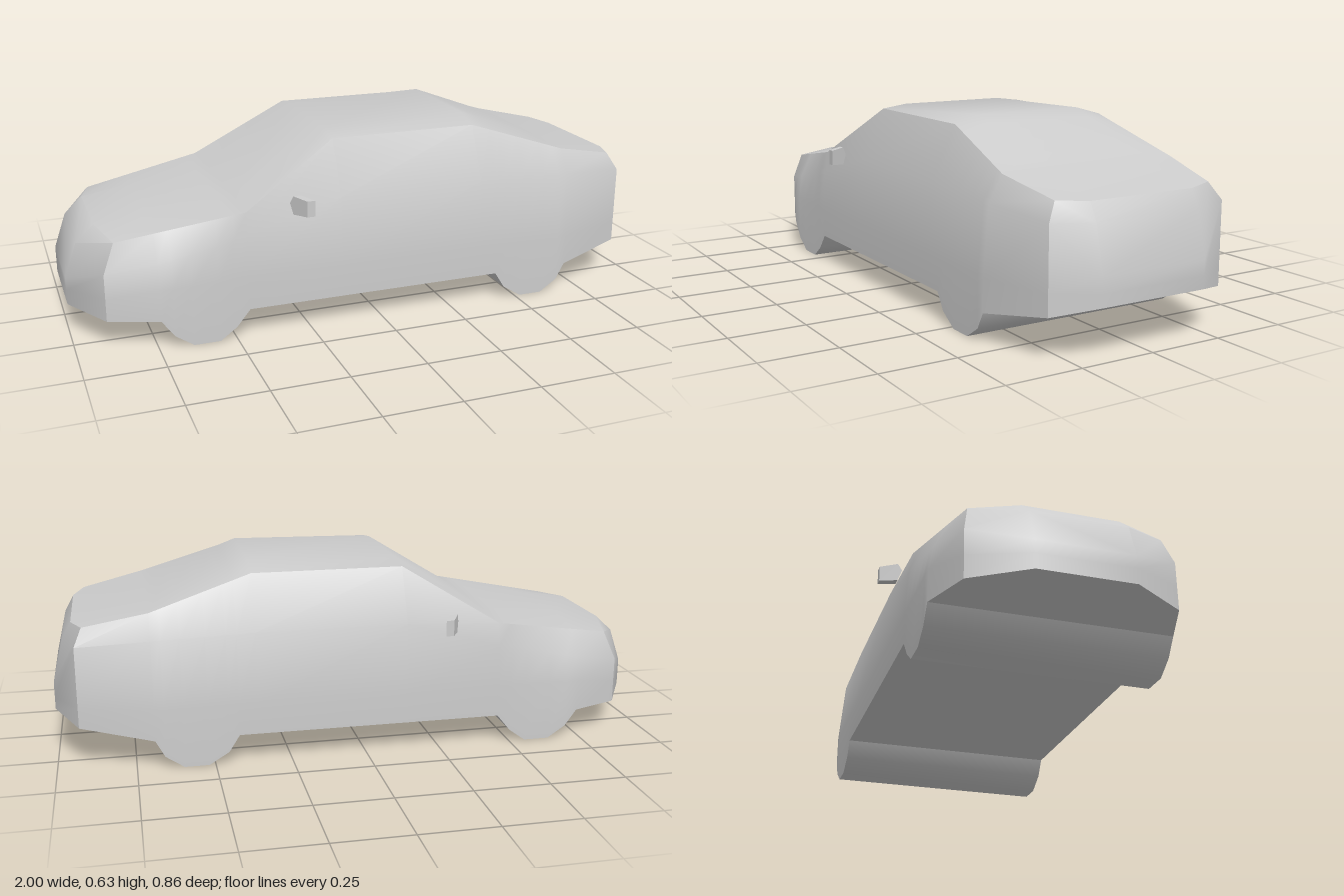
import * as THREE from 'three';
import { toCreasedNormals } from 'three/addons/utils/BufferGeometryUtils.js';

const material = new THREE.MeshStandardMaterial({ color: 0xcccccc });

// Half sections: [x, side z, belt y, belt z, roof edge y, roof edge z, crown y, crown z]
const keys = [
  [-0.74, 0.38, 0.28, 0.365, 0.366, 0.318, 0.381, 0.17],
  [-0.455, 0.38, 0.34, 0.373, 0.415, 0.36, 0.423, 0.19],
  [-0.14, 0.38, 0.43, 0.363, 0.605, 0.28, 0.617, 0.19],
  [0.36, 0.38, 0.43, 0.363, 0.605, 0.28, 0.63, 0.19],
  [0.69, 0.38, 0.42, 0.36, 0.5, 0.315, 0.507, 0.19],
];
// Underside outline: the wheels bulge down across the full width
const underside = [
  [-0.74, 0.095], [-0.7, 0.04], [-0.64, 0], [-0.555, 0], [-0.5, 0.04], [-0.455, 0.095],
  [-0.14, 0.095], [0.36, 0.095],
  [0.42, 0.095], [0.455, 0.04], [0.52, 0], [0.6, 0], [0.66, 0.04], [0.69, 0.095],
];

function sectionAt(x, bottom) {
  let i = 0;
  while (i < keys.length - 2 && x > keys[i + 1][0]) i++;
  const t = (x - keys[i][0]) / (keys[i + 1][0] - keys[i][0]);
  const k = keys[i].map((v, n) => THREE.MathUtils.lerp(v, keys[i + 1][n], t));
  return [[x, bottom, k[1]], [x, 0.2, k[1]], [x, k[2], k[3]], [x, k[4], k[5]], [x, k[6], k[7]]];
}

function bodyGeometry() {
  // The two sections at each end wrap around the nose and the tail
  const sections = [
    [[-1, 0.1, 0.15], [-1, 0.15, 0.15], [-1, 0.19, 0.15], [-0.96, 0.305, 0.15], [-0.9, 0.36, 0.15]],
    [[-0.9, 0.095, 0.32], [-0.9, 0.17, 0.32], [-0.9, 0.25, 0.32], [-0.862, 0.345, 0.3], [-0.9, 0.36, 0.15]],
    ...underside.map(([x, y]) => sectionAt(x, y)),
    [[0.925, 0.133, 0.315], [0.925, 0.2, 0.315], [0.925, 0.4, 0.315], [0.9, 0.455, 0.28], [0.935, 0.45, 0.185]],
    [[1, 0.16, 0.185], [1, 0.2, 0.185], [1, 0.25, 0.185], [0.965, 0.395, 0.185], [0.935, 0.45, 0.185]],
  ];
  const positions = [];
  const index = [];
  for (const half of sections) {
    const mirrored = half.map(([x, y, z]) => [x, y, -z]).reverse();
    positions.push(...half.flat(), ...mirrored.flat());
  }
  const n = 10;
  const last = (sections.length - 1) * n;
  const quad = (a, b, c, d) => index.push(a, b, c, a, c, d);
  for (let i = 0; i < last; i += n) {
    for (let j = 0; j < n; j++) {
      const k = (j + 1) % n;
      quad(i + j, i + n + j, i + n + k, i + k);
    }
  }
  // Nose and tail faces
  for (let j = 0; j < 4; j++) {
    quad(j, j + 1, 8 - j, 9 - j);
    quad(last + j, last + 9 - j, last + 8 - j, last + j + 1);
  }
  const geometry = new THREE.BufferGeometry();
  geometry.setAttribute('position', new THREE.Float32BufferAttribute(positions, 3));
  geometry.setIndex(index);
  return toCreasedNormals(geometry, 0.65);
}

// Thin plate, swept back towards its outer end
function mirrorGeometry(side) {
  const outline = [[0.362, 0.43], [0.375, 0.395], [0.43, 0.4], [0.43, 0.452], [0.375, 0.456]];
  const shape = new THREE.Shape(outline.map(([z, y]) => new THREE.Vector2(side * z, y)));
  const geometry = new THREE.ExtrudeGeometry(shape, { depth: 0.026, bevelEnabled: false });
  geometry.rotateY(-Math.PI / 2);
  const p = geometry.attributes.position;
  for (let i = 0; i < p.count; i++) {
    p.setX(i, p.getX(i) - 0.286 + (Math.abs(p.getZ(i)) - 0.362) * 0.52);
  }
  geometry.computeVertexNormals();
  return geometry;
}

export function createModel() {
  const model = new THREE.Group();
  model.name = 'car';
  const add = (name, geometry) => {
    const mesh = new THREE.Mesh(geometry, material);
    mesh.name = name;
    model.add(mesh);
  };
  add('body', bodyGeometry());
  add('nearWingMirror', mirrorGeometry(1));
  add('farWingMirror', mirrorGeometry(-1));
  return model;
}
